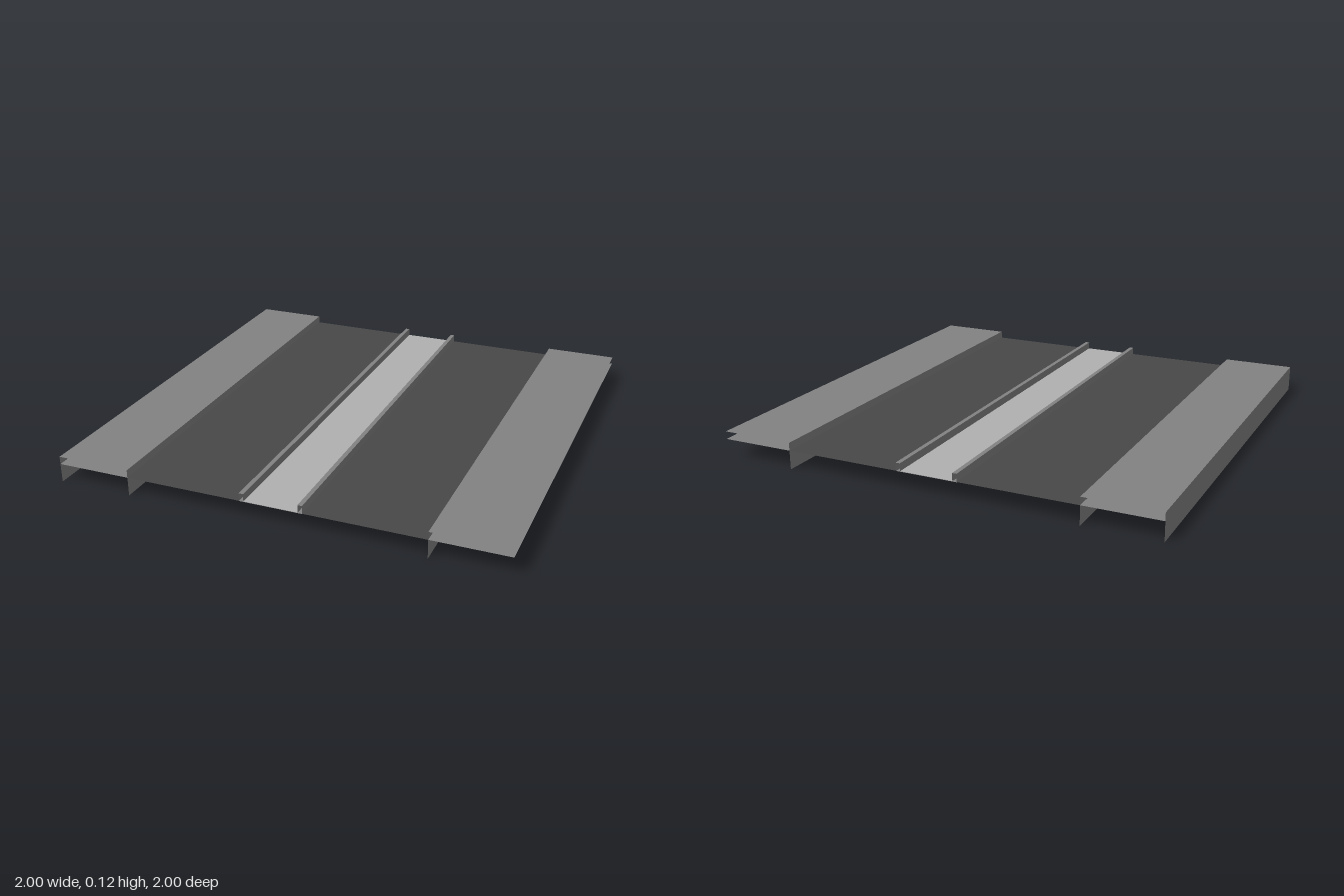
import * as THREE from 'three';

const LENGTH = 2;
const TOP = 0.12;    // walkway and kerb tops
const BASE = 0.085;  // road level
const WALK = 0.665;  // inner edge of the walkways
const KERB_IN = 0.12, KERB_OUT = 0.14;

function material(name, color) {
  const m = new THREE.MeshStandardMaterial({ color, side: THREE.DoubleSide });
  m.name = name;
  return m;
}

export function createModel() {
  const concrete = material('concrete', 0x828282);
  const asphalt = material('asphalt', 0x484848);
  const paving = material('lightPaving', 0xb0b0b0);
  const model = new THREE.Group();
  model.name = 'roadSection';

  // Horizontal sheet running the full length, from x0 to x1
  function sheet(name, x0, x1, y, mat) {
    const geometry = new THREE.PlaneGeometry(x1 - x0, LENGTH).rotateX(-Math.PI / 2);
    const mesh = new THREE.Mesh(geometry, mat);
    mesh.position.set((x0 + x1) / 2, y, 0);
    mesh.name = name;
    model.add(mesh);
  }

  // Upright sheet running the full length at x
  function wall(name, x, y0, y1, mat) {
    const geometry = new THREE.PlaneGeometry(LENGTH, y1 - y0).rotateY(Math.PI / 2);
    const mesh = new THREE.Mesh(geometry, mat);
    mesh.position.set(x, (y0 + y1) / 2, 0);
    mesh.name = name;
    model.add(mesh);
  }

  for (const [side, s] of [['left', 1], ['right', -1]]) {
    const span = (name, a, b, y, mat) =>
      sheet(side + name, Math.min(s * a, s * b), Math.max(s * a, s * b), y, mat);

    // Raised walkway over its lower slab, with the kerb face down to the ground
    span('WalkwayTop', WALK, 1, TOP, concrete);
    span('WalkwaySlab', WALK, 1, BASE, concrete);
    wall(side + 'WalkwayKerb', s * WALK, 0, TOP, concrete);

    // Carriageway
    span('Carriageway', KERB_OUT, WALK, BASE, asphalt);

    // Narrow kerb beside the median
    span('MedianKerbTop', KERB_IN, KERB_OUT, TOP, concrete);
    wall(side + 'MedianKerbInner', s * KERB_IN, BASE, TOP, concrete);
    wall(side + 'MedianKerbOuter', s * KERB_OUT, BASE, TOP, concrete);
  }

  // Outer retaining wall, on the right side only
  wall('rightOuterWall', -1, 0, TOP, concrete);

  // Median strip with its underlay
  sheet('medianPaving', -KERB_IN, KERB_IN, BASE + 0.001, paving);
  sheet('medianUnderlay', -KERB_OUT, KERB_OUT, BASE - 0.001, concrete);

  return model;
}
